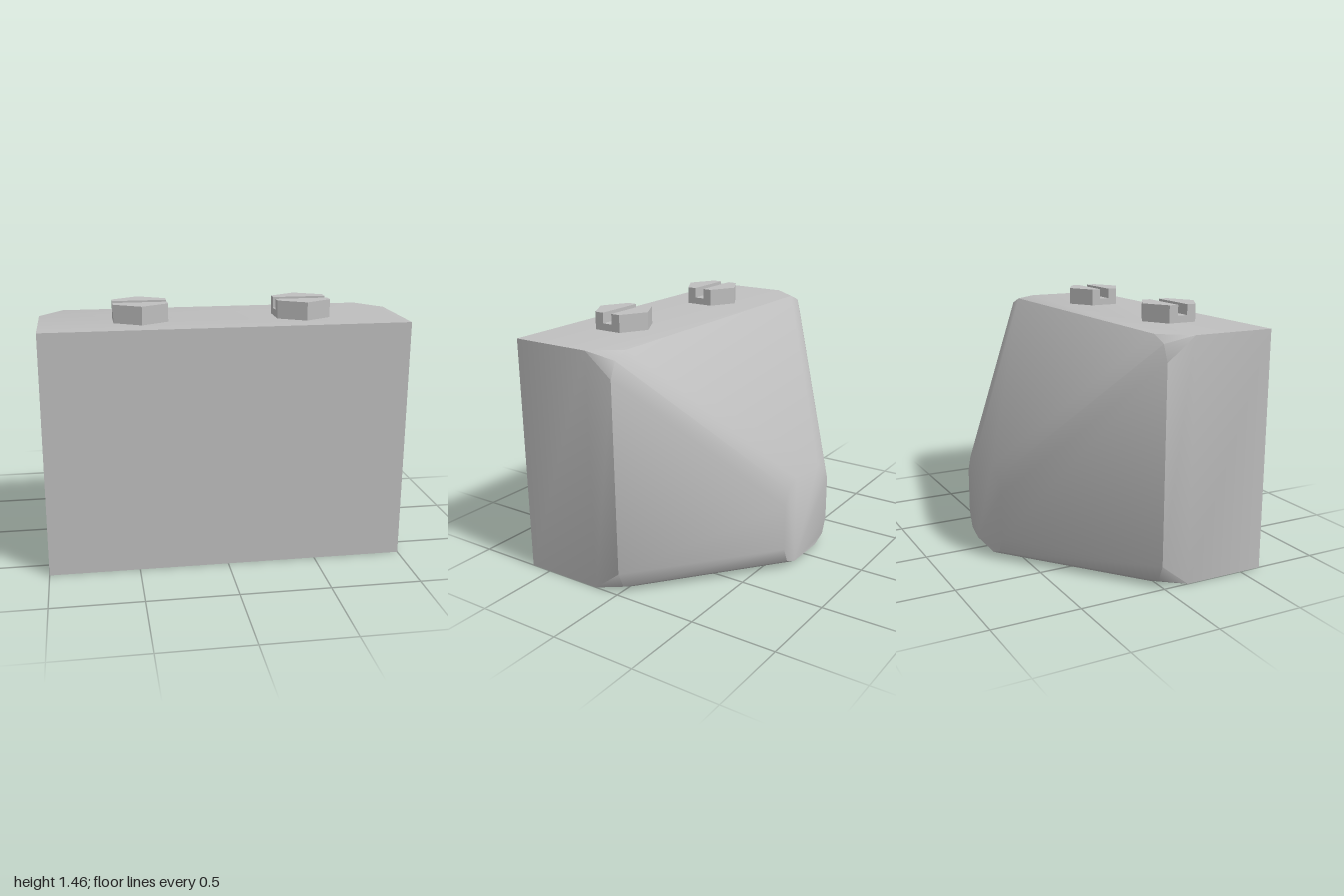
import * as THREE from 'three';
import { toCreasedNormals } from 'three/addons/utils/BufferGeometryUtils.js';

const grey = new THREE.MeshStandardMaterial({ color: 0xbfbfbf });
grey.name = 'light grey';

// Rectangle section with rounded corners, counter-clockwise seen from the front
function section(z, halfWidth, y0, y1, r) {
  const points = [];
  const corners = [[1, y0 + r, -90], [1, y1 - r, 0], [-1, y1 - r, 90], [-1, y0 + r, 180]];
  for (const [side, cy, start] of corners) {
    for (let k = 0; k < 3; k++) {
      const a = THREE.MathUtils.degToRad(start + k * 45);
      points.push(new THREE.Vector3(
        side * (halfWidth - r) + r * Math.cos(a), cy + r * Math.sin(a), z));
    }
  }
  return points;
}

// Skin through the sections, closed at both ends
function loft(sections) {
  const positions = [];
  const triangle = new THREE.Triangle();
  const add = (a, b, c) => {
    triangle.set(a, b, c);
    if (triangle.getArea() > 1e-7) positions.push(...a, ...b, ...c);
  };
  const n = sections[0].length;
  for (let s = 0; s < sections.length - 1; s++) {
    const a = sections[s], b = sections[s + 1];
    for (let i = 0; i < n; i++) {
      const j = (i + 1) % n;
      add(a[i], b[i], b[j]);
      add(a[i], b[j], a[j]);
    }
  }
  const front = sections[0], back = sections[sections.length - 1];
  for (let i = 1; i < n - 1; i++) {
    add(front[0], front[i], front[i + 1]);
    add(back[0], back[i + 1], back[i]);
  }
  const geometry = new THREE.BufferGeometry();
  geometry.setAttribute('position', new THREE.Float32BufferAttribute(positions, 3));
  return toCreasedNormals(geometry, 0.82);
}

// Upright prism from a plan outline
function prism(outline, height) {
  const shape = new THREE.Shape(outline.map(([x, y]) => new THREE.Vector2(x, y)));
  return new THREE.ExtrudeGeometry(shape, { depth: height, bevelEnabled: false })
    .rotateX(-Math.PI / 2);
}

// Hexagonal stud with a slot across its top
function createStud(name, x) {
  const stud = new THREE.Group();
  stud.name = name;
  stud.position.set(x, 1.36, 0.335);
  const w = 0.148, h = 0.085, tip = 0.17, slot = 0.03;

  const base = new THREE.Mesh(
    prism([[w, -h], [w, h], [0, tip], [-w, h], [-w, -h], [0, -tip]], 0.04), grey);
  base.name = 'studBase';
  stud.add(base);

  const halfGeometry = prism([[-w, slot], [w, slot], [w, h], [0, tip], [-w, h]], 0.06);
  for (const turn of [0, Math.PI]) {
    const half = new THREE.Mesh(halfGeometry, grey);
    half.name = turn ? 'studFrontHalf' : 'studBackHalf';
    half.position.y = 0.04;
    half.rotation.y = turn;
    stud.add(half);
  }
  return stud;
}

export function createModel() {
  const model = new THREE.Group();
  model.name = 'taperedHousing';

  // Square front block, corners easing into a rounded rear taper
  const body = new THREE.Mesh(loft([
    section(0.63, 1, 0, 1.36, 0),
    section(0.15, 1, 0, 1.36, 0),
    section(-0.015, 1, 0, 1.36, 0.13),
    section(-0.63, 0.26, 0.01, 0.535, 0.13),
  ]), grey);
  body.name = 'body';
  model.add(body);

  model.add(createStud('leftStud', 0.45), createStud('rightStud', -0.45));
  return model;
}
